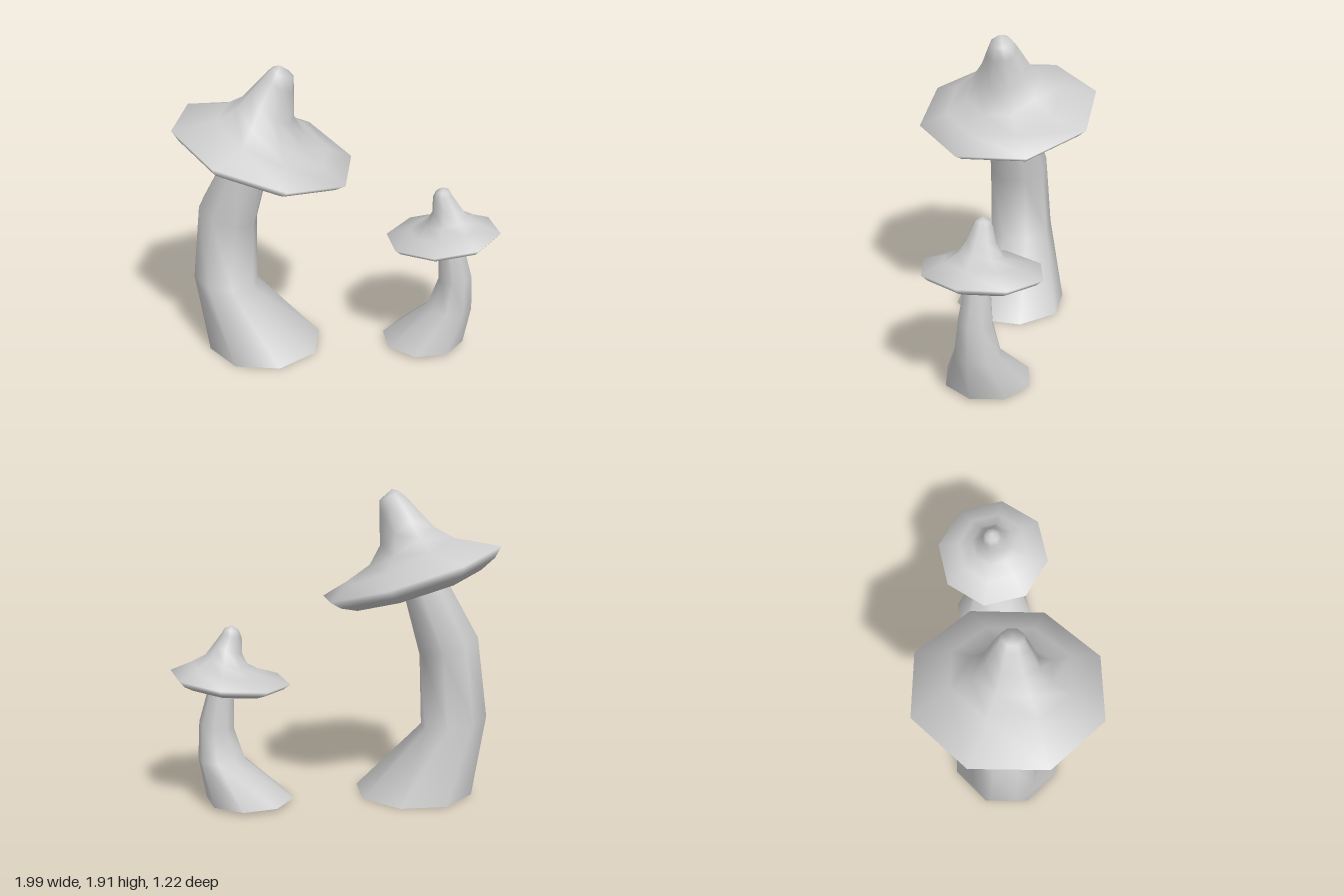
import * as THREE from 'three';

const SIDES = 8;
const material = new THREE.MeshStandardMaterial({ color: 0xcccccc });

// Smooth skin over eight-sided rings [x, y, z, radius, tilt in degrees]; radius 0 is a pole
function loft(name, rings, phase) {
  const positions = [], index = [];
  rings.forEach(([x, y, z, r, tilt]) => {
    const t = THREE.MathUtils.degToRad(tilt);
    for (let j = 0; j < SIDES; j++) {
      const a = phase + (j / SIDES) * Math.PI * 2;
      const u = r * Math.cos(a);
      positions.push(x + u * Math.cos(t), y + u * Math.sin(t), z + r * Math.sin(a));
    }
  });
  const id = (i, j) => i * SIDES + (rings[i][3] ? j % SIDES : 0);
  for (let i = 0; i < rings.length - 1; i++) {
    for (let j = 0; j < SIDES; j++) {
      const a = id(i, j), b = id(i, j + 1), c = id(i + 1, j), d = id(i + 1, j + 1);
      if (c !== d) index.push(a, c, d);
      if (a !== b) index.push(a, d, b);
    }
  }
  const geometry = new THREE.BufferGeometry();
  geometry.setAttribute('position', new THREE.Float32BufferAttribute(positions, 3));
  geometry.setIndex(index);
  geometry.computeVertexNormals();
  const mesh = new THREE.Mesh(geometry, material);
  mesh.name = name;
  return mesh;
}

// Brim rings in the tilted frame of the rim: [radius, offset along the axis]
function brim([x, y, z], tilt, profile) {
  const t = THREE.MathUtils.degToRad(tilt);
  return profile.map(([r, h]) => [x - Math.sin(t) * h, y + Math.cos(t) * h, z, r, tilt]);
}

function mushroom(name, { phase, stem, rim, tilt, under, crown }) {
  const group = new THREE.Group();
  group.name = name;
  group.add(loft('stem', stem, phase));

  // Flat base with a crisp edge
  const [x, y, z, r] = stem[0];
  group.add(loft('stemBase', [[x, y, z, 0, 0], [x, y, z, r, 0]], phase));

  // Cap: hollow underside, rolled rim, then the leaning crown
  group.add(loft('cap', [...brim(rim, tilt, under), ...crown], phase));
  return group;
}

export function createModel() {
  const model = new THREE.Group();
  model.name = 'mushrooms';

  model.add(mushroom('largeMushroom', {
    phase: 0.23,
    stem: [
      [-0.49, 0, 0.02, 0.375, 0],
      [-0.74, 0.46, 0.04, 0.212, -11],
      [-0.70, 0.935, 0.05, 0.195, -20],
      [-0.51, 1.40, 0.06, 0.13, -22],
    ],
    rim: [-0.45, 1.405, 0.03],
    tilt: -17.6,
    under: [[0, 0.02], [0.2, 0.01], [0.36, -0.05], [0.43, -0.105], [0.53, -0.055], [0.585, 0]],
    crown: [
      [-0.385, 1.475, 0.04, 0.37, -24],
      [-0.395, 1.555, 0.045, 0.245, -33],
      [-0.385, 1.67, 0.04, 0.165, -42],
      [-0.34, 1.81, 0.035, 0.1, -34],
      [-0.32, 1.87, 0.035, 0.068, -25],
      [-0.335, 1.91, 0.04, 0, 0],
    ],
  }));

  model.add(mushroom('smallMushroom', {
    phase: 0,
    stem: [
      [0.53, 0.02, -0.24, 0.27, 0],
      [0.70, 0.275, -0.245, 0.145, 0],
      [0.727, 0.49, -0.245, 0.108, 10],
      [0.68, 0.79, -0.245, 0.07, 10],
    ],
    rim: [0.635, 0.79, -0.25],
    tilt: 6.6,
    under: [[0, 0.01], [0.13, 0], [0.22, -0.03], [0.265, -0.063], [0.33, -0.035], [0.368, 0]],
    crown: [
      [0.645, 0.842, -0.25, 0.23, 11],
      [0.65, 0.89, -0.25, 0.14, 17],
      [0.645, 0.97, -0.25, 0.09, 20],
      [0.622, 1.05, -0.25, 0.062, 10],
      [0.62, 1.087, -0.25, 0.044, 8],
      [0.62, 1.11, -0.25, 0, 0],
    ],
  }));

  return model;
}
